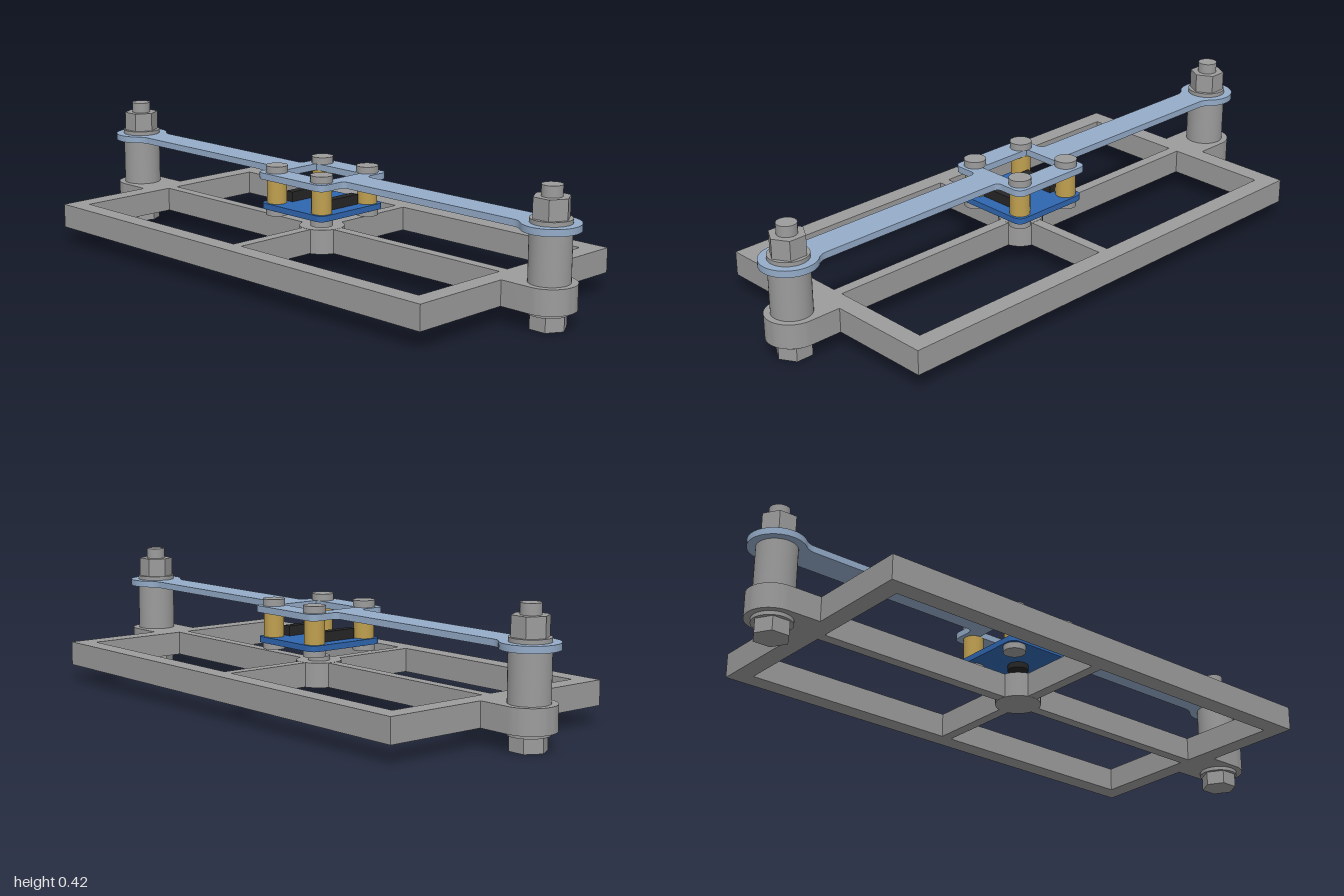
import * as THREE from 'three';
import { toCreasedNormals } from 'three/addons/utils/BufferGeometryUtils.js';

const mat = (name, color) => {
  const m = new THREE.MeshStandardMaterial({ color });
  m.name = name;
  return m;
};

export function createModel() {
  const root = new THREE.Group();
  root.name = 'strapAssembly';
  const steel = mat('grey steel', 0x9c9c9c);
  const strapBlue = mat('pale blue', 0x94acc9);
  const boardBlue = mat('board blue', 0x2f66b0);
  const brass = mat('brass', 0xc0a050);
  const black = mat('black plastic', 0x262626);

  const add = (name, geo, material, x = 0, y = 0, z = 0, parent = root) => {
    const m = new THREE.Mesh(geo, material);
    m.name = name;
    m.position.set(x, y, z);
    parent.add(m);
    return m;
  };
  // Upright cylinder given by its bottom and top heights
  const post = (name, material, r, y0, y1, x, z, parent) =>
    add(name, new THREE.CylinderGeometry(r, r, y1 - y0, 40), material, x, (y0 + y1) / 2, z, parent);
  // Hexagon with corners pointing along x
  const hex = (name, r, y0, y1, x, parent) => {
    const g = new THREE.CylinderGeometry(r, r, y1 - y0, 6).rotateY(Math.PI / 6);
    add(name, toCreasedNormals(g, 0.5), steel, x, (y0 + y1) / 2, 0, parent);
  };
  // Plan outline raised from y0 to y1
  const slab = (name, shape, material, y0, y1) => {
    const g = new THREE.ExtrudeGeometry(shape, { depth: y1 - y0, bevelEnabled: false, curveSegments: 14 });
    return add(name, toCreasedNormals(g.rotateX(-Math.PI / 2), 0.5), material, 0, y0, 0);
  };
  const rect = (P, x0, z0, x1, z1) => {
    const p = new P();
    p.moveTo(x0, z0).lineTo(x1, z0).lineTo(x1, z1).lineTo(x0, z1).closePath();
    return p;
  };

  // Base frame: outer rails, cross bars, end lugs and centre hub
  const bx = 0.912, y0 = 0.057, y1 = 0.135, lug = 0.082, bar = 0.018;
  const base = new THREE.Shape();
  base.moveTo(-0.805, -0.42).lineTo(0.805, -0.42).lineTo(0.805, -lug).lineTo(bx, -lug);
  base.absarc(bx, 0, lug, -Math.PI / 2, Math.PI / 2, false);
  base.lineTo(0.805, lug).lineTo(0.805, 0.42).lineTo(-0.805, 0.42).lineTo(-0.805, lug).lineTo(-bx, lug);
  base.absarc(-bx, 0, lug, Math.PI / 2, Math.PI * 1.5, false);
  base.lineTo(-0.805, -lug).closePath();
  for (const [xa, xb] of [[-0.745, -bar], [bar, 0.745]])
    for (const [za, zb] of [[-0.36, -bar], [bar, 0.36]])
      base.holes.push(rect(THREE.Path, xa, za, xb, zb));
  slab('baseFrame', base, steel, y0, y1);
  post('centreHub', steel, 0.072, y0 - 0.0005, y1 + 0.0005, 0, 0);
  post('hubPin', steel, 0.035, y1, 0.15, 0, 0);

  // Strap: round ends, narrow arms, square middle with a window
  const w = 0.05, R = 0.088, p = 0.147, c = 0.03, f = 0.02;
  const a = 0.86; // angle where the round end meets its fillet
  const ex = bx - R * Math.cos(a), ez = R * Math.sin(a);
  const strap = new THREE.Shape();
  for (const s of [1, -1]) {
    const q = (ax, az, x, z) => strap.quadraticCurveTo(s * ax, s * az, s * x, s * z);
    const l = (x, z) => strap.lineTo(s * x, s * z);
    if (s === 1) strap.moveTo(0, -p);
    l(p - c, -p);
    q(p, -p, p, -p + c);
    l(p, -w - f);
    q(p, -w, p + f, -w);
    l(ex - 0.04, -w);
    q(ex - 0.015, -w, ex, -ez);
    const start = s === 1 ? -Math.PI + a : a;
    strap.absarc(s * bx, 0, R, start, start + 2 * Math.PI - 2 * a, false);
    q(ex - 0.015, w, ex - 0.04, w);
    l(p + f, w);
    q(p, w, p, w + f);
    l(p, p - c);
    q(p, p, p - c, p);
  }
  strap.closePath();
  strap.holes.push(rect(THREE.Path, -0.1, -0.072, 0.1, 0.072));
  slab('strap', strap, strapBlue, 0.287, 0.308);

  // End bolts with spacer, washers, nut and head
  for (const s of [1, -1]) {
    const bolt = new THREE.Group();
    bolt.name = s > 0 ? 'leftBolt' : 'rightBolt';
    root.add(bolt);
    const x = s * bx;
    hex('boltHead', 0.057, 0, 0.045, x, bolt);
    post('lowerWasher', steel, 0.062, 0.045, y0, x, 0, bolt);
    post('spacer', steel, 0.062, y1, 0.287, x, 0, bolt);
    post('upperWasher', steel, 0.062, 0.308, 0.321, x, 0, bolt);
    hex('nut', 0.057, 0.321, 0.383, x, bolt);
    post('boltEnd', steel, 0.031, 0.383, 0.417, x, 0, bolt);
  }

  // Hanging board with rounded corners
  const b = 0.14, r = 0.025;
  const board = new THREE.Shape();
  board.absarc(b - r, b - r, r, 0, Math.PI / 2, false);
  board.absarc(r - b, b - r, r, Math.PI / 2, Math.PI, false);
  board.absarc(r - b, r - b, r, Math.PI, Math.PI * 1.5, false);
  board.absarc(b - r, r - b, r, Math.PI * 1.5, Math.PI * 2, false);
  board.closePath();
  slab('board', board, boardBlue, 0.19, 0.209);
  post('sensor', black, 0.033, 0.172, 0.19, 0, 0);

  // Connector strips and corner standoffs
  for (const sx of [1, -1]) {
    add('connectorStrip', new THREE.BoxGeometry(0.028, 0.032, 0.128), black, sx * 0.083, 0.225, 0);
    for (const sz of [1, -1]) {
      const x = sx * 0.101, z = sz * 0.101;
      post('standoff', brass, 0.032, 0.209, 0.287, x, z);
      post('upperScrewHead', steel, 0.035, 0.308, 0.33, x, z);
      post('lowerScrewHead', steel, 0.035, 0.17, 0.19, x, z);
    }
  }
  return root;
}
